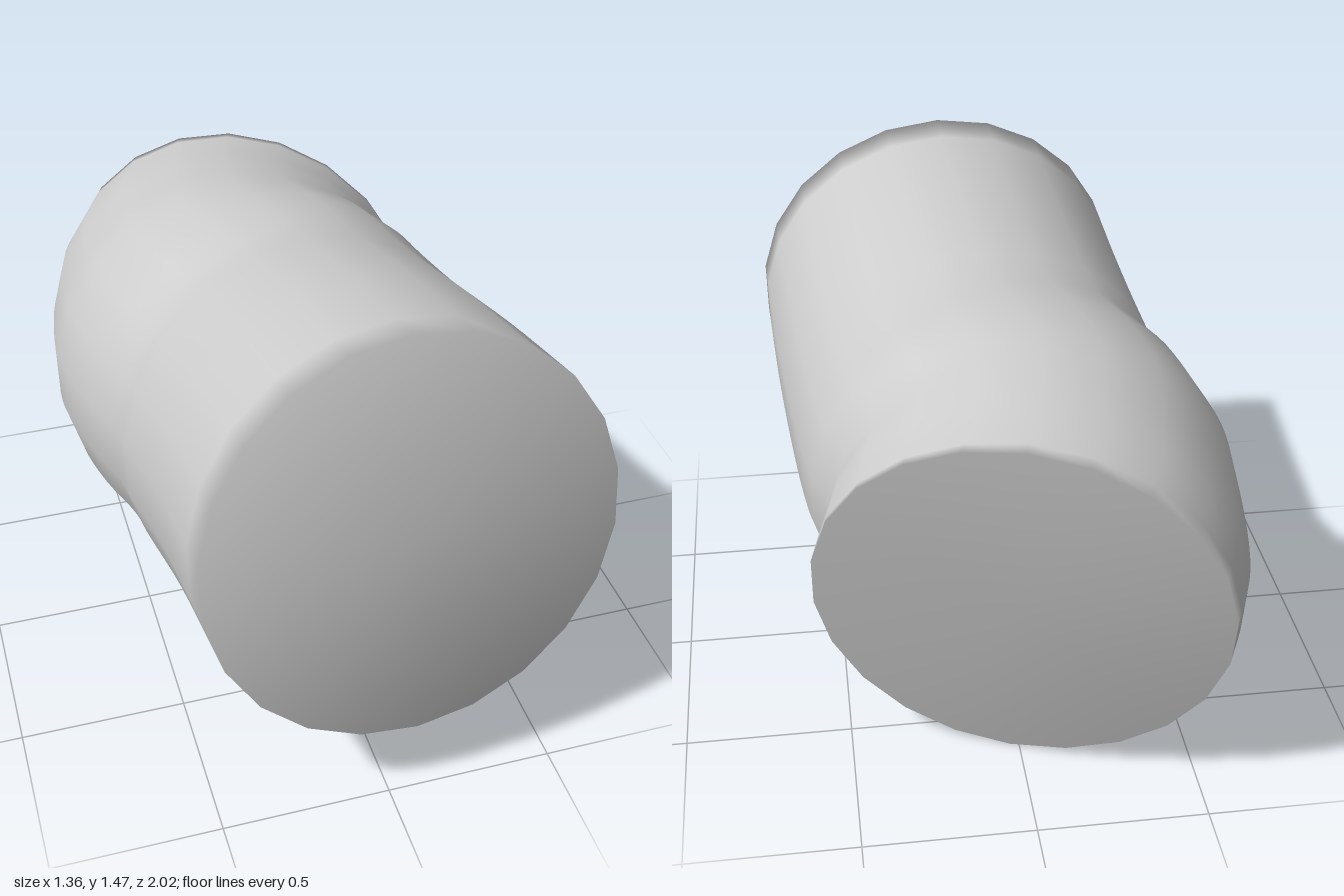
import * as THREE from 'three';

const SIDES = 22;
const STEPS = 32;

// Guide lines along the bent pipe: side points are [x, z], top and bottom are [y, z].
const rightSide = [[-0.53, 0.94], [-0.55, 0.5], [-0.58, 0.2], [-0.59, 0.09], [-0.65, -0.1], [-0.685, -0.34], [-0.67, -0.55], [-0.62, -0.8], [-0.54, -0.98]];
const leftSide = [[0.685, 0.87], [0.66, 0.47], [0.625, 0.1], [0.6, -0.12], [0.575, -0.27], [0.53, -0.38], [0.555, -0.43], [0.575, -0.48], [0.595, -0.54]];
const topLine = [[1.465, 0.8], [1.39, 0.38], [1.32, 0.05], [1.3, -0.08], [1.3, -0.25], [1.28, -0.44], [1.25, -0.6], [1.22, -0.75], [1.195, -0.89]];
const bottomLine = [[0.25, 1.0], [0.165, 0.55], [0.095, 0.12], [0.08, -0.03], [0.08, -0.17], [0.065, -0.3], [0.035, -0.43], [0.015, -0.53], [0, -0.63]];

const guide = (pts) => new THREE.CatmullRomCurve3(pts.map(([a, z]) => new THREE.Vector3(a, 0, z)));

function pipeGeometry() {
  const guides = [rightSide, leftSide, topLine, bottomLine].map(guide);
  const pos = [];
  const index = [];

  // Elliptical rings spanned by the four guides
  for (let i = 0; i <= STEPS; i++) {
    const [r, l, t, b] = guides.map((g) => g.getPoint(i / STEPS));
    for (let j = 0; j < SIDES; j++) {
      const a = (j / SIDES) * Math.PI * 2;
      const s = Math.sin(a);
      const c = Math.cos(a);
      const middleZ = ((l.z + r.z) * s * s + (t.z + b.z) * c * c) / 2;
      pos.push(
        (l.x + r.x) / 2 + ((l.x - r.x) / 2) * s,
        (t.x + b.x) / 2 + ((t.x - b.x) / 2) * c,
        middleZ + ((l.z - r.z) / 2) * s + ((t.z - b.z) / 2) * c
      );
    }
  }

  // Wall
  for (let i = 0; i < STEPS; i++) {
    for (let j = 0; j < SIDES; j++) {
      const k = (j + 1) % SIDES;
      const p = i * SIDES;
      const q = p + SIDES;
      index.push(p + j, p + k, q + j, p + k, q + k, q + j);
    }
  }

  // Flat end caps sharing the rim vertices, so the shading rolls over the rim
  for (const ring of [0, STEPS]) {
    const start = ring * SIDES;
    const centre = pos.length / 3;
    const sum = [0, 0, 0];
    for (let j = 0; j < SIDES * 3; j++) sum[j % 3] += pos[start * 3 + j] / SIDES;
    pos.push(...sum);
    for (let j = 0; j < SIDES; j++) {
      const p = start + j;
      const q = start + ((j + 1) % SIDES);
      if (ring === 0) index.push(centre, q, p);
      else index.push(centre, p, q);
    }
  }

  const geometry = new THREE.BufferGeometry();
  geometry.setAttribute('position', new THREE.Float32BufferAttribute(pos, 3));
  geometry.setIndex(index);
  geometry.computeVertexNormals();
  return geometry;
}

export function createModel() {
  const model = new THREE.Group();
  model.name = 'bentPipe';
  const pipe = new THREE.Mesh(pipeGeometry(), new THREE.MeshStandardMaterial({ color: 0xcccccc }));
  pipe.name = 'pipeSegment';
  model.add(pipe);
  return model;
}
